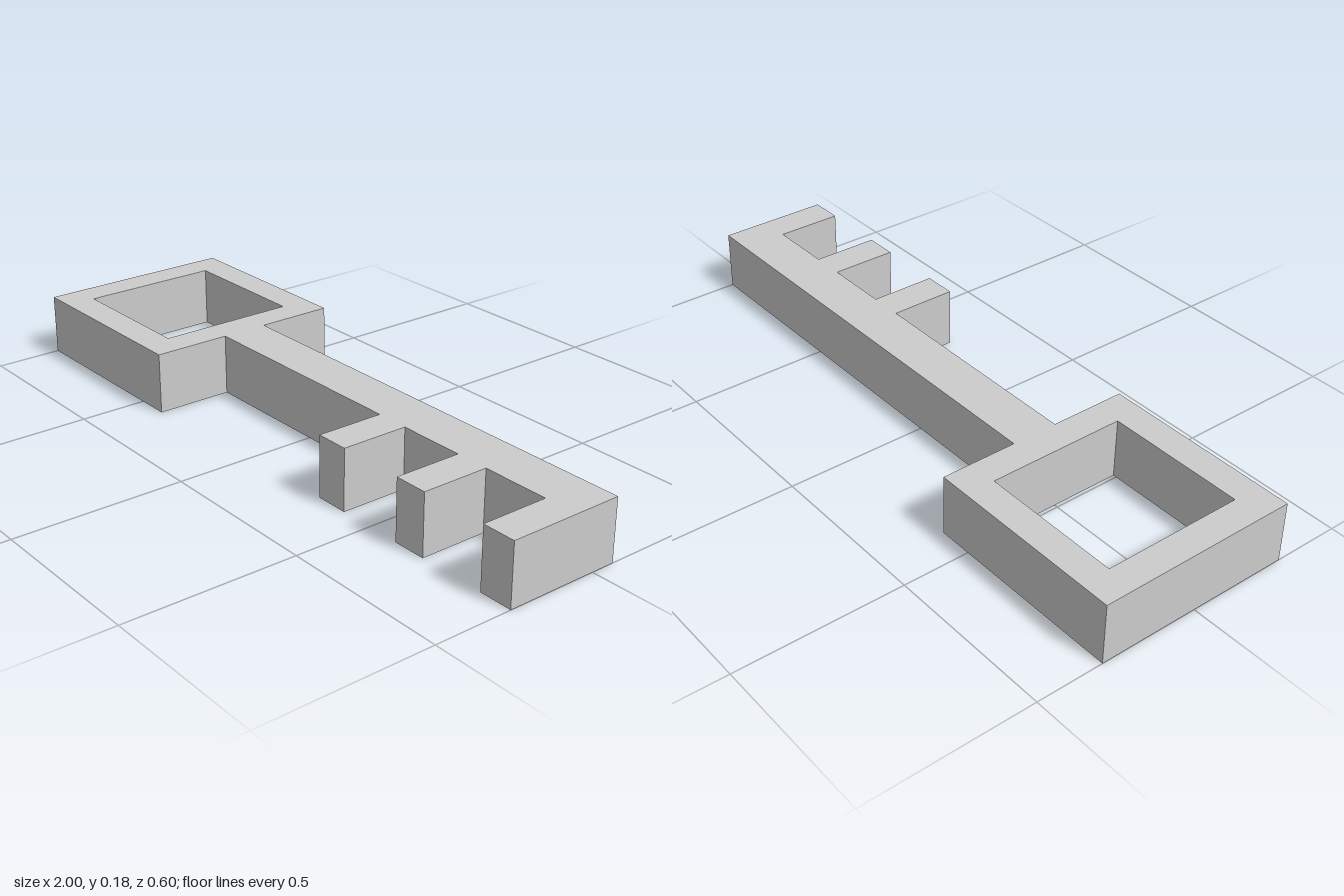
import * as THREE from 'three';

const THICKNESS = 0.18;
const SHAFT = 0.07; // half width of the shaft
const BOW = { x: -0.7, half: 0.3, hole: 0.21 };
const TEETH = [0.3, 0.6, 0.9]; // left edge of each tooth
const TOOTH = { width: 0.1, tip: 0.27 };

const points = (list) => list.map(([x, z]) => new THREE.Vector2(x, z));

export function createModel() {
  const group = new THREE.Group();
  group.name = 'key';

  // Plan outline in x and z: square bow, shaft, then the teeth along the front edge
  const left = BOW.x - BOW.half;
  const right = BOW.x + BOW.half;
  const outline = [
    [right, SHAFT], [right, BOW.half], [left, BOW.half],
    [left, -BOW.half], [right, -BOW.half], [right, -SHAFT], [1, -SHAFT],
  ];
  for (const x of [...TEETH].reverse()) {
    const end = x + TOOTH.width;
    if (end < 0.999) outline.push([end, SHAFT]); // last tooth is flush with the shaft end
    outline.push([end, TOOTH.tip], [x, TOOTH.tip], [x, SHAFT]);
  }
  const shape = new THREE.Shape(points(outline));

  // Square opening in the bow
  const h = BOW.hole;
  shape.holes.push(new THREE.Path(points([
    [BOW.x - h, -h], [BOW.x + h, -h], [BOW.x + h, h], [BOW.x - h, h],
  ])));

  // Extrude, then lay flat on the ground
  const geometry = new THREE.ExtrudeGeometry(shape, { depth: THICKNESS, bevelEnabled: false });
  geometry.rotateX(Math.PI / 2).translate(0, THICKNESS, 0);

  const body = new THREE.Mesh(
    geometry,
    new THREE.MeshStandardMaterial({ color: 0xcccccc, flatShading: true }),
  );
  body.name = 'bowShaftAndTeeth';
  group.add(body);
  return group;
}
